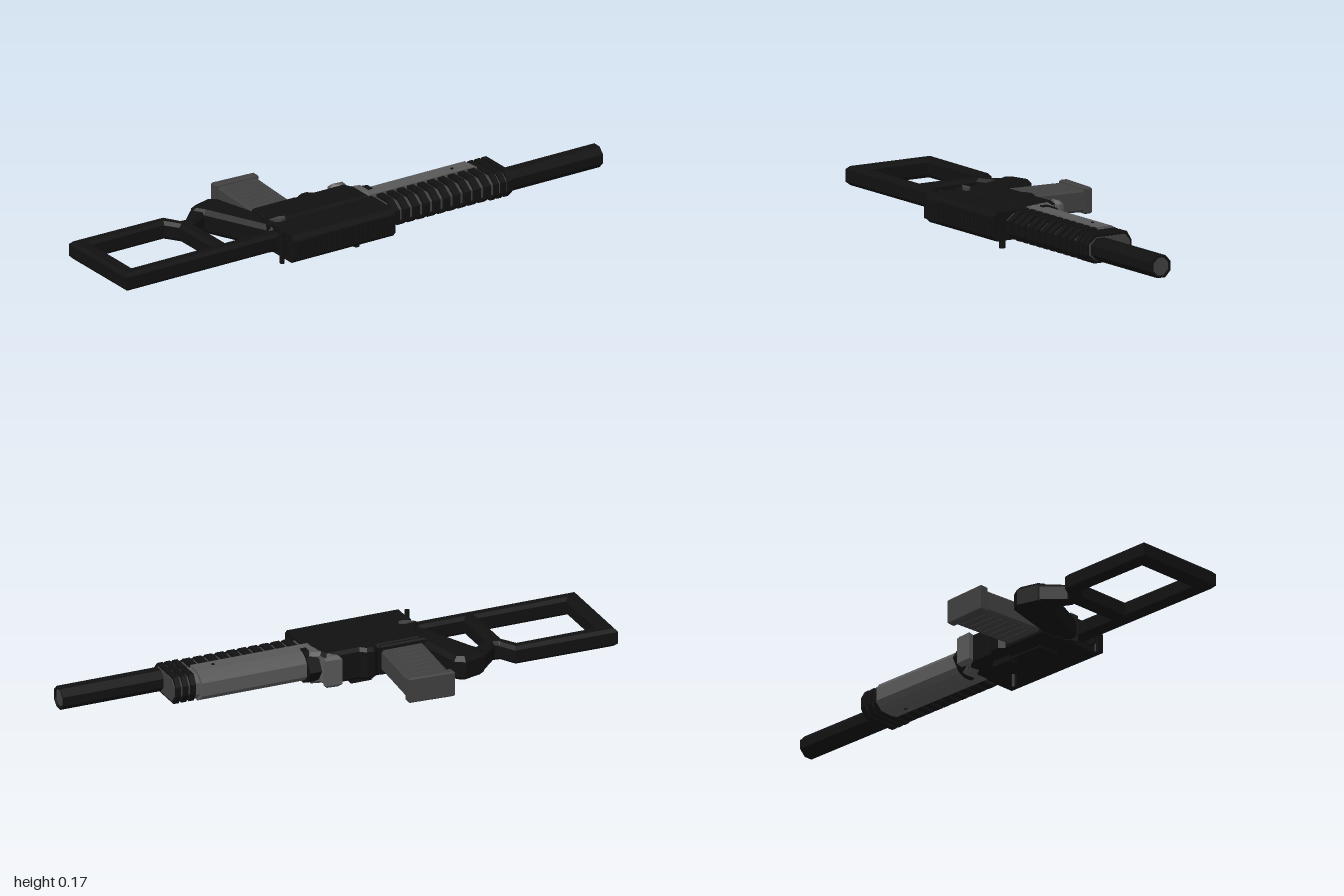
import * as THREE from 'three';

const MID = 0.1; // height of the symmetry plane
const mat = (color) => new THREE.MeshStandardMaterial({ color, flatShading: true });

export function createModel() {
  const model = new THREE.Group();
  const black = mat(0x111111), dark = mat(0x404040), grey = mat(0x585858);

  const add = (name, geo, material, x = 0, y = 0, z = 0) => {
    const mesh = new THREE.Mesh(geo, material);
    mesh.name = name;
    mesh.position.set(x, y, z);
    model.add(mesh);
    return mesh;
  };
  const box = (name, m, x0, x1, y0, y1, z0, z1) =>
    add(name, new THREE.BoxGeometry(x1 - x0, y1 - y0, z1 - z0), m, (x0 + x1) / 2, (y0 + y1) / 2, (z0 + z1) / 2);

  // Section [z, half height] mirrored about the middle plane, run along x
  const alongX = (name, m, half, x0, x1) => {
    const pts = [...half, ...half.filter((p) => p[1] > 0).reverse().map(([z, h]) => [z, -h])];
    const shape = new THREE.Shape(pts.map(([z, h]) => new THREE.Vector2(-z, h)));
    const geo = new THREE.ExtrudeGeometry(shape, { depth: x1 - x0, bevelEnabled: false });
    geo.rotateY(Math.PI / 2);
    return add(name, geo, m, x0, MID, 0);
  };

  // Outline [x, z] thickened along y, with bevelled edges and optional holes
  const v = ([x, z]) => new THREE.Vector2(x, -z);
  const plate = (name, m, outline, y0, y1, bevel = 0, holes = []) => {
    const shape = new THREE.Shape(outline.map(v));
    holes.forEach((h) => shape.holes.push(new THREE.Path(h.map(v))));
    const geo = new THREE.ExtrudeGeometry(shape, {
      depth: y1 - y0 - 2 * bevel, bevelEnabled: bevel > 0, bevelThickness: bevel,
      bevelSize: bevel, bevelOffset: -bevel, bevelSegments: 1,
    });
    geo.rotateX(-Math.PI / 2);
    return add(name, geo, m, 0, y0 + bevel, 0);
  };

  // Octagonal barrel with a recessed bore
  const octagon = (r0, r1, hole) => {
    const pts = [[0, 0], [r0, 0], [r1, 0.45], [hole, 0.45], [hole, 0.44], [0, 0.44]];
    const geo = new THREE.LatheGeometry(pts.map(([r, h]) => new THREE.Vector2(r, h)), 8, Math.PI / 8);
    return geo.rotateZ(-Math.PI / 2);
  };
  add('barrel', octagon(0.043, 0.043, 0.035), black, 0.55, MID, 0.18);
  add('bore', new THREE.CylinderGeometry(0.035, 0.035, 0.01, 8, 1, false, Math.PI / 8).rotateZ(Math.PI / 2), dark, 0.988, MID, 0.18);

  // Front collar: core and three rings
  const stadium = (d) => [[0.055 - d, 0.018], [0.075 - d, 0.042 + d], [0.195 + d, 0.042 + d], [0.225 + d, 0.02]];
  alongX('collarCore', dark, stadium(0), 0.08, 0.612);
  for (let i = 0; i < 3; i++) alongX('collarRing', black, stadium(0.009), 0.53 + i * 0.029, 0.55 + i * 0.029);

  // Ribbed lower half of the handguard
  const ribHalf = [[0.125, 0.053], [0.195, 0.053], [0.237, 0.022]];
  for (let i = 0; i < 10; i++) alongX('handguardRib', black, ribHalf, 0.1 + i * 0.043, 0.127 + i * 0.043);

  // Smooth upper half, a sloped nose and its rear flare
  alongX('handguardShell', grey, [[0.03, 0.025], [0.045, 0.043], [0.07, 0.056], [0.13, 0.056]], 0.06, 0.515);
  alongX('handguardNose', grey, [[0.045, 0.022], [0.07, 0.046], [0.125, 0.05]], 0.515, 0.53);
  plate('handStop', grey, [[0, -0.03], [0.065, -0.025], [0.065, -0.01], [0.05, 0], [0.06, 0.025],
    [0.1, 0.035], [0.1, 0.13], [0.065, 0.13], [0.05, 0.08], [0.015, 0.055], [0.02, 0.01], [0, -0.01]], 0.04, 0.16, 0.012);
  for (const y of [0.043, 0.157]) {
    add('handguardPin', new THREE.CylinderGeometry(0.006, 0.006, 0.004, 8), black, 0.44, y, 0.1);
  }
  alongX('frontLug', black, [[0, 0], [0.03, 0.047], [0.06, 0.06], [0.09, 0.06], [0.09, 0]], 0.065, 0.11);

  // Receiver: upper housing, lower housing and magazine well
  alongX('upperReceiver', black, [[0.06, 0.052], [0.265, 0.052], [0.28, 0.036]], -0.35, 0.08);
  plate('lowerReceiver', black, [[-0.32, 0], [-0.15, 0], [-0.13, -0.018], [-0.1, -0.018], [-0.08, 0],
    [0.05, 0], [0.07, 0.05], [0.07, 0.14], [-0.37, 0.14], [-0.33, 0.06]], 0.04, 0.161, 0.012);
  plate('magazineWell', black, [[-0.335, -0.005], [-0.155, -0.005], [-0.15, 0.08], [-0.34, 0.08]], 0.044, 0.157, 0.006);
  box('rearSight', black, -0.345, -0.26, 0.065, 0.135, 0.265, 0.291);
  box('railBase', black, -0.27, 0.08, 0.07, 0.13, 0.265, 0.279);
  for (let i = 0; i < 15; i++) box('railTooth', black, -0.245 + i * 0.0217, -0.233 + i * 0.0217, 0.065, 0.135, 0.27, 0.287);

  // Small controls on the sides
  add('takedownPin', new THREE.CylinderGeometry(0.009, 0.009, 0.12, 8), black, -0.368, MID, 0.232);
  box('pinBracket', black, -0.375, -0.34, 0.07, 0.13, 0.215, 0.245);
  plate('selector', dark, [[-0.35, 0.127], [-0.31, 0.122], [-0.292, 0.13], [-0.295, 0.145], [-0.315, 0.148]], 0.155, 0.166);
  plate('sideCover', black, [[-0.27, 0.05], [-0.08, 0.05], [-0.05, 0.075], [-0.05, 0.125], [-0.07, 0.14], [-0.27, 0.14]], 0.025, 0.05, 0.008);
  box('boltCatch', black, -0.14, -0.06, 0.017, 0.045, 0.03, 0.07);
  add('chargingHandle', new THREE.CylinderGeometry(0.012, 0.012, 0.055, 8), black, -0.018, 0.0275, 0.178);

  // Magazine: tilted body, ribs on both faces and a base plate
  const lean = (z) => -0.065 * z; // sideways drift with depth
  const slab = (x0, x1, z0, z1) => [[x0 + lean(z0), z0], [x1 + lean(z0), z0], [x1 + lean(z1), z1], [x0 + lean(z1), z1]];
  plate('magazine', dark, slab(-0.325, -0.163, -0.265, 0.02), 0.06, 0.14, 0.008);
  plate('magazineBase', dark, [[-0.316, -0.291], [-0.142, -0.281], [-0.142, -0.25], [-0.316, -0.258]], 0.053, 0.148, 0.005);
  for (let i = 0; i < 7; i++) {
    const z = -0.235 + i * 0.032;
    plate('magazineRib', dark, slab(-0.305, -0.185, z, z + 0.017), 0.057, 0.143, 0.002);
  }

  // Skeleton stock, one bevelled frame with a window
  plate('stock', black, [[-1, -0.17], [-0.605, -0.165], [-0.57, -0.105], [-0.545, -0.085], [-0.545, 0.14],
    [-0.34, 0.14], [-0.34, 0.19], [-1, 0.19]], 0.066, 0.134, 0.012,
  [[[-0.94, -0.118], [-0.94, 0.14], [-0.6, 0.14], [-0.6, -0.07], [-0.632, -0.118]]]);

  // Grip with the link reaching back to the stock
  plate('grip', black, [[-0.48, -0.175], [-0.4, -0.197], [-0.365, -0.175], [-0.325, -0.02], [-0.3, 0.08],
    [-0.32, 0.17], [-0.36, 0.15], [-0.475, -0.1], [-0.5, -0.14]], 0.055, 0.145, 0.016);
  plate('gripLink', black, [[-0.585, -0.105], [-0.555, -0.1], [-0.485, -0.17], [-0.44, -0.11], [-0.475, -0.097],
    [-0.545, -0.06], [-0.59, -0.06]], 0.064, 0.136, 0.012);
  return model;
}
